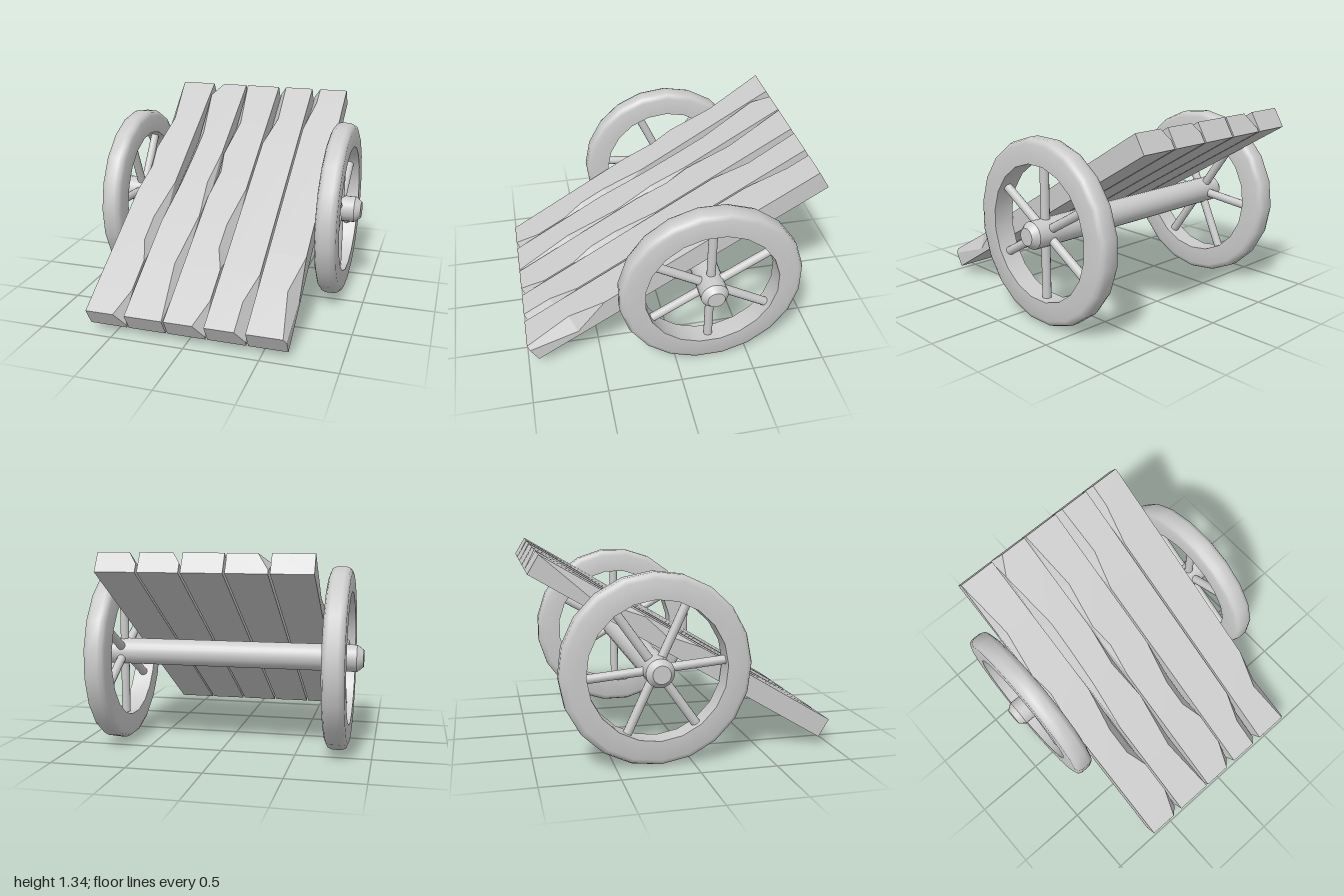
import * as THREE from 'three';
import { toCreasedNormals } from 'three/addons/utils/BufferGeometryUtils.js';

const smooth = new THREE.MeshStandardMaterial({ color: 0xcccccc });
const faceted = new THREE.MeshStandardMaterial({ color: 0xcccccc, flatShading: true });

const AXLE_Y = 0.617, AXLE_Z = -0.23;
const LENGTH = 2.256, HALF_THICK = 0.069, HALF_WIDTH = 0.129;

function addMesh(parent, name, geometry, material = smooth) {
  const mesh = new THREE.Mesh(geometry, material);
  mesh.name = name;
  parent.add(mesh);
  return mesh;
}

// Lathe around the x axis from [radius, x] pairs
function latheX(points, segments, start, crease) {
  const profile = points.map(([r, x]) => new THREE.Vector2(r, x));
  const geometry = new THREE.LatheGeometry(profile, segments, start);
  geometry.rotateZ(-Math.PI / 2);
  return toCreasedNormals(geometry, crease);
}

// Piecewise linear lookup in [t, value] pairs sorted by t
function sample(pairs, t) {
  if (t <= pairs[0][0]) return pairs[0][1];
  for (let i = 1; i < pairs.length; i++) {
    const [t0, v0] = pairs[i - 1], [t1, v1] = pairs[i];
    if (t <= t1) return v0 + (v1 - v0) * (t - t0) / (t1 - t0);
  }
  return pairs[pairs.length - 1][1];
}

// Plank lofted from six-point sections; the upper edges are chipped inwards.
// t runs from the low front end (0) to the high back end (1).
function plankGeometry(left, right) {
  const stations = [...new Set([0, 1, ...left.map(p => p[0]), ...right.map(p => p[0])])]
    .sort((a, b) => b - a);
  const depth = inset => Math.min(inset * 1.6, 0.125);
  const sections = stations.map(t => {
    const l = sample(left, t), r = sample(right, t);
    const w = HALF_WIDTH, h = HALF_THICK, z = LENGTH * (0.5 - t);
    return [[-w, -h, z], [w, -h, z], [w, h - depth(r), z],
      [w - r, h, z], [-w + l, h, z], [-w, h - depth(l), z]];
  });
  const positions = [];
  const tri = (a, b, c) => positions.push(...a, ...b, ...c);
  for (let k = 0; k < sections.length - 1; k++) {
    const s0 = sections[k], s1 = sections[k + 1];
    for (let i = 0; i < 6; i++) {
      const j = (i + 1) % 6;
      tri(s0[i], s0[j], s1[j]);
      tri(s0[i], s1[j], s1[i]);
    }
  }
  const back = sections[0], front = sections[sections.length - 1];
  for (let i = 1; i < 5; i++) {
    tri(front[0], front[i], front[i + 1]);
    tri(back[0], back[i + 1], back[i]);
  }
  const geometry = new THREE.BufferGeometry();
  geometry.setAttribute('position', new THREE.Float32BufferAttribute(positions, 3));
  geometry.computeVertexNormals();
  return geometry;
}

// Wheel: rounded rim with six spokes
function makeWheel(name) {
  const wheel = new THREE.Group();
  wheel.name = name;
  const h = 0.072, inner = 0.45, outer = 0.616;
  const rim = [[inner, -h], [outer - 0.04, -h], [outer - 0.012, -h + 0.012], [outer, -h + 0.04],
    [outer, h - 0.04], [outer - 0.012, h - 0.012], [outer - 0.04, h], [inner, h], [inner, -h]];
  addMesh(wheel, 'rim', latheX(rim, 20, Math.PI / 20, 0.9));
  for (let i = 0; i < 6; i++) {
    const geometry = new THREE.CylinderGeometry(0.03, 0.03, 0.42, 12);
    geometry.translate(0, 0.26, 0);
    addMesh(wheel, 'spoke', geometry).rotation.x = i * Math.PI / 3;
  }
  return wheel;
}

export function createModel() {
  const model = new THREE.Group();
  model.name = 'cart';

  // Axle with tapered tips
  const axle = addMesh(model, 'axle', latheX([[0, -0.923], [0.058, -0.923], [0.092, -0.88],
    [0.092, 0.88], [0.058, 0.923], [0, 0.923]], 20, 0, 0.6));
  axle.position.set(0, AXLE_Y, AXLE_Z);

  // Wheels, the right one turned a little further
  for (const [name, x, turn] of [['leftWheel', 0.767, 0], ['rightWheel', -0.767, 25]]) {
    const wheel = makeWheel(name);
    wheel.position.set(x, AXLE_Y, AXLE_Z);
    wheel.rotation.x = THREE.MathUtils.degToRad(turn);
    model.add(wheel);
  }

  // Sloping deck of five chipped planks: [left chips, right chips] as [t, inset]
  const wornLeft = [[0.47, 0], [0.58, 0.03], [0.66, 0.005], [0.81, 0.048], [1, 0]];
  const wornRight = [[0, 0.065], [0.09, 0], [0.2, 0], [0.274, 0.055], [0.367, 0.055], [0.515, 0]];
  const chips = [
    [wornLeft, wornRight],
    [[[0.35, 0], [0.51, 0.035], [0.65, 0.05], [0.75, 0.055], [0.94, 0], [1, 0.07]],
      [[0, 0], [0.2, 0.05], [0.39, 0], [0.53, 0.03], [0.66, 0]]],
    [wornLeft, wornRight],
    [[[0.72, 0], [0.84, 0.06], [1, 0.045]], [[0, 0.06], [0.1, 0.06], [0.2, 0]]],
    [[[0.8, 0], [0.93, 0.05], [1, 0.05]], [[0, 0.02], [0.155, 0.065], [0.28, 0]]],
  ];
  const deck = new THREE.Group();
  deck.name = 'deck';
  chips.forEach(([left, right], i) => {
    addMesh(deck, 'plank', plankGeometry(left, right), faceted).position.x = (i - 2) * 0.271;
  });
  deck.position.y = 0.695;
  deck.rotation.x = 0.545;
  model.add(deck);

  return model;
}
